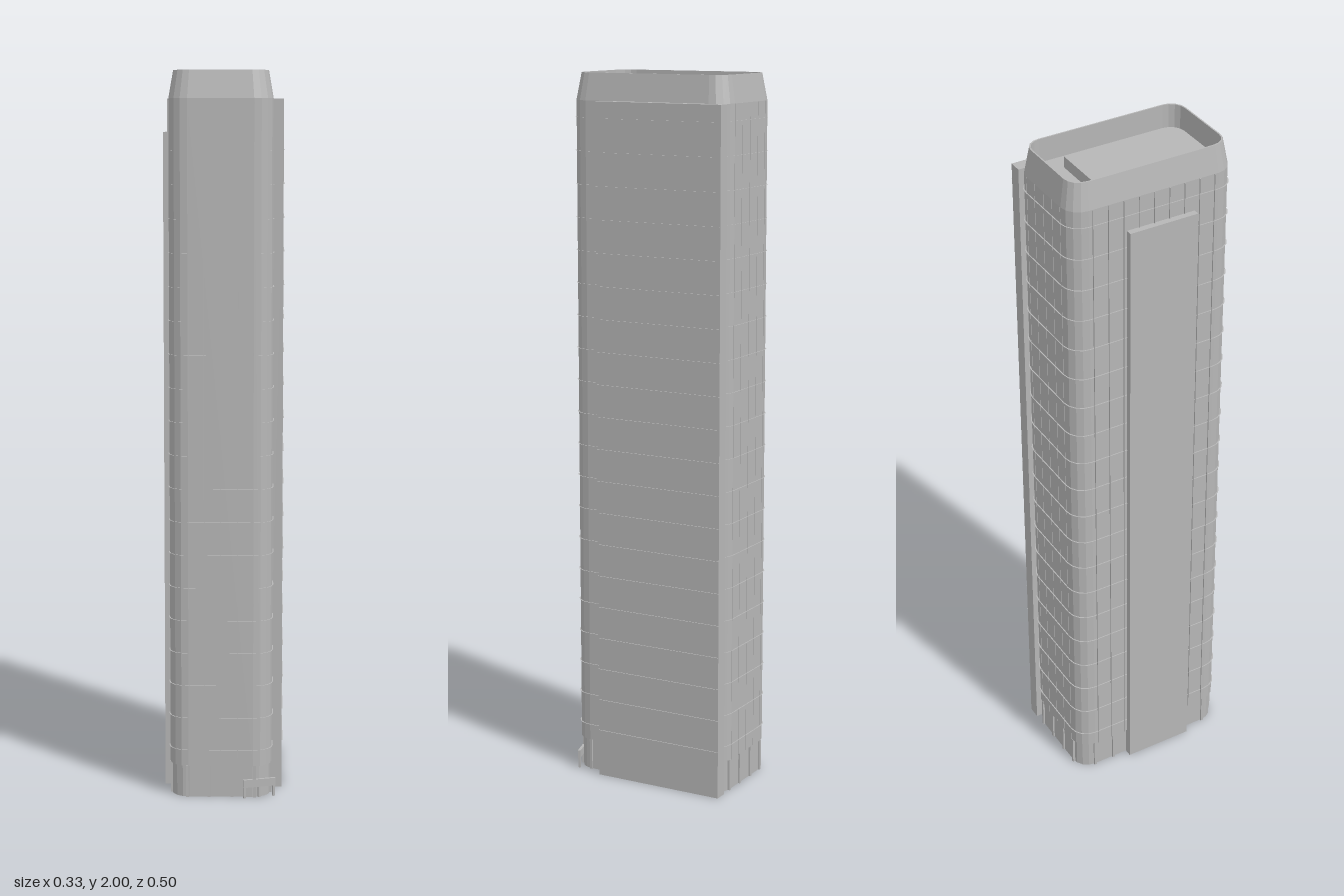
import * as THREE from 'three';

const CX = -0.0065, CZ = -0.005, HW = 0.1415, HD = 0.243; // tower plan centre and half sizes
const Y0 = 0.09, Y1 = 1.925, FLOORS = 20, STEPS = 4;
const material = new THREE.MeshStandardMaterial({ color: 0xb6b6b6 });
material.name = 'concrete grey';

// Rounded plan outline, inset by d (point y is -z), always the same number of points
function outline(d) {
  const r = 0.052 - d * 0.6, w = HW - d - r, h = HD - d - r, points = [];
  [[1, -1], [1, 1], [-1, 1], [-1, -1]].forEach(([sx, sy], corner) => {
    for (let i = 0; i <= STEPS; i++) {
      const a = (corner - 1 + i / STEPS) * Math.PI / 2;
      points.push(new THREE.Vector2(CX + sx * w + r * Math.cos(a), -CZ + sy * h + r * Math.sin(a)));
    }
  });
  return points;
}

// Ring between two insets
function ringShape(outer, inner) {
  const s = new THREE.Shape(outline(outer));
  s.holes.push(new THREE.Path(outline(inner)));
  return s;
}

// Upright solid from a plan shape
function extrude(shape, y, height) {
  const g = new THREE.ExtrudeGeometry(shape, { depth: height, bevelEnabled: false });
  return g.rotateX(-Math.PI / 2).translate(0, y, 0);
}

// Walls joining plan outlines given as [inset, y]
function loft(levels) {
  const pos = [], index = [], n = 4 * (STEPS + 1);
  for (const [d, y] of levels) outline(d).forEach(p => pos.push(p.x, y, -p.y));
  for (let k = 0; k < levels.length - 1; k++)
    for (let i = 0; i < n; i++) {
      const a = k * n + i, b = k * n + (i + 1) % n;
      index.push(a, b, b + n, a, b + n, a + n);
    }
  const g = new THREE.BufferGeometry();
  g.setAttribute('position', new THREE.Float32BufferAttribute(pos, 3));
  g.setIndex(index);
  const flat = g.toNonIndexed();
  flat.computeVertexNormals();
  return flat;
}

export function createModel() {
  const model = new THREE.Group();
  model.name = 'tower';
  const add = (name, geometry, parent = model) => {
    const m = new THREE.Mesh(geometry, material);
    m.name = name;
    parent.add(m);
    return m;
  };
  const group = name => {
    const g = new THREE.Group();
    g.name = name;
    model.add(g);
    return g;
  };
  // Box from its minimum and maximum corners
  const box = (name, x0, x1, y0, y1, z0, z1, parent) => add(name,
    new THREE.BoxGeometry(x1 - x0, y1 - y0, z1 - z0)
      .translate((x0 + x1) / 2, (y0 + y1) / 2, (z0 + z1) / 2), parent);
  const X0 = CX - HW, X1 = CX + HW, Z0 = CZ - HD, Z1 = CZ + HD;

  // Main shaft
  add('shaft', extrude(new THREE.Shape(outline(0)), Y0, Y1 - Y0));

  // Hollow lobby wall under the shaft
  add('lobbyWall', extrude(ringShape(0.005, 0.01), 0, Y0));

  // Lobby columns on all sides
  const columns = group('lobbyColumns'), w = 0.004;
  for (const x of [-0.1, -0.04, 0.025, 0.087]) {
    box('column', x - w, x + w, 0, Y0, Z1 - 0.012, Z1, columns);
    box('column', x - w, x + w, 0, Y0, Z0, Z0 + 0.012, columns);
  }
  for (let i = 0; i < 7; i++) {
    const z = CZ + (i - 3) * 0.063;
    box('column', X0, X0 + 0.012, 0, Y0, z - w, z + w, columns);
    box('column', X1 - 0.012, X1, 0, Y0, z - w, z + w, columns);
  }

  // Tapered crown with an open top, roof deck and plant room
  add('crown', loft([[0, Y1], [0.013, 2], [0.017, 2], [0.017, Y1 + 0.005]]));
  add('roofDeck', new THREE.ShapeGeometry(new THREE.Shape(outline(0.015)))
    .rotateX(-Math.PI / 2).translate(0, Y1 + 0.008, 0));
  box('plantRoom', -0.079, 0.063, Y1, 1.965, -0.148, 0.096);

  // Service slabs on both flanks
  box('leftSlab', 0.126, 0.163, 0, Y1, -0.248, 0.138);
  box('rightSlab', -0.166, -0.14, 0, 1.835, -0.086, 0.116);

  // Thin ledges at every floor
  const ledges = group('floorLedges');
  const ledge = new THREE.ShapeGeometry(ringShape(-0.003, 0.001)).rotateX(-Math.PI / 2);
  const slabLedge = new THREE.PlaneGeometry(0.004, 0.386).rotateX(-Math.PI / 2);
  for (let i = 0; i < FLOORS; i++) {
    const y = Y0 + (i + 0.5) * (Y1 - Y0) / FLOORS;
    add('floorLedge', ledge, ledges).position.y = y;
    add('slabLedge', slabLedge, ledges).position.set(0.164, y, -0.055);
  }

  // Slender upright fins
  const fins = group('facadeFins'), t = 0.0008, f = 0.004;
  for (const x of [-0.094, -0.052, -0.0065, 0.04, 0.082]) {
    box('fin', x - t, x + t, Y0, Y1, Z1, Z1 + f, fins);
    box('fin', x - t, x + t, Y0, Y1, Z0 - 0.001, Z0, fins);
  }
  for (let i = 0; i < 9; i++) {
    const z = CZ + (i - 4) * 0.045;
    box('fin', X0 - f, X0, Y0, Y1, z - t, z + t, fins);
  }

  // Angled entrance portal at the front corner
  const portal = group('entrancePortal');
  portal.position.set(0.1, 0, 0.232);
  portal.rotation.y = 0.29;
  box('portalHeader', -0.046, 0.046, 0.03, 0.052, -0.004, 0.004, portal);
  for (const x of [-0.042, 0, 0.042])
    box('portalPost', x - 0.003, x + 0.003, 0, 0.03, -0.003, 0.003, portal);

  return model;
}
